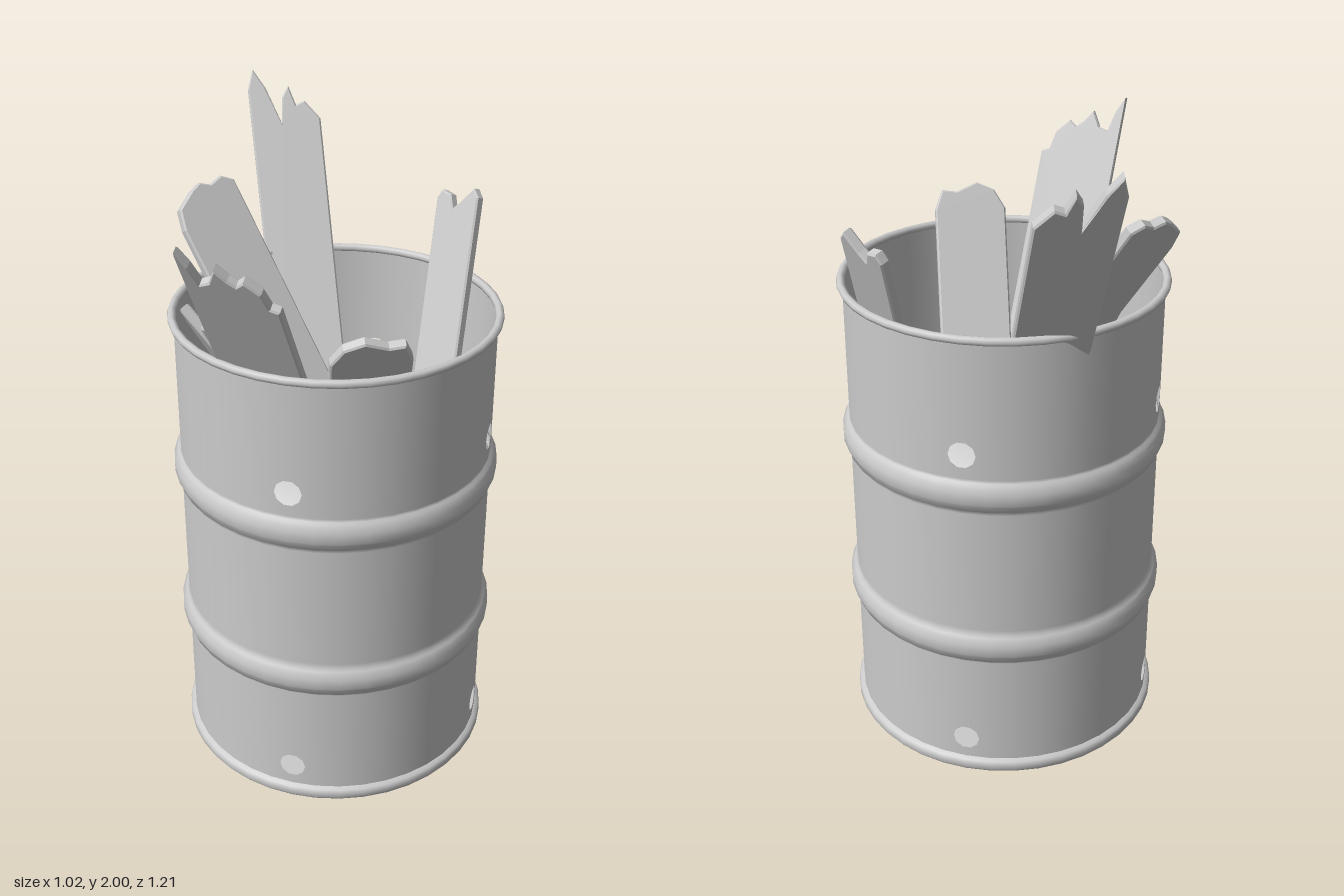
import * as THREE from 'three';

const R = 0.478, SEG = 40, STEP = (Math.PI * 2) / SEG;
const metal = new THREE.MeshStandardMaterial({ color: 0xcccccc, side: THREE.DoubleSide });
const wood = new THREE.MeshStandardMaterial({ color: 0xcccccc });

function add(parent, name, geometry, material) {
  const mesh = new THREE.Mesh(geometry, material);
  mesh.name = name;
  parent.add(mesh);
  return mesh;
}

function lathe(points) {
  return new THREE.LatheGeometry(points.map(([r, y]) => new THREE.Vector2(r, y)), SEG);
}

// Curved wall patch, two segments wide, with a round vent hole
function ventPatch(y0, y1, holeY, angle) {
  const s = new THREE.Shape();
  s.moveTo(-STEP * R, y0);
  s.lineTo(0, y0);
  s.lineTo(STEP * R, y0);
  s.lineTo(STEP * R, y1);
  s.lineTo(0, y1);
  s.lineTo(-STEP * R, y1);
  s.holes.push(new THREE.Path().absarc(0, holeY, 0.041, 0, Math.PI * 2, true));
  const g = new THREE.ShapeGeometry(s, 5);
  const p = g.attributes.position, n = g.attributes.normal;
  for (let i = 0; i < p.count; i++) {
    const a = angle + p.getX(i) / R;
    p.setXYZ(i, Math.sin(a) * R, p.getY(i), Math.cos(a) * R);
    n.setXYZ(i, Math.sin(a), 0, Math.cos(a));
  }
  return g;
}

// Wall band with four vents
function ventBand(parent, y0, y1, holeY) {
  for (let k = 0; k < 4; k++) {
    const a = (k * Math.PI) / 2;
    add(parent, 'ventPatch', ventPatch(y0, y1, holeY, a), metal);
    const arc = new THREE.CylinderGeometry(R, R, y1 - y0, 8, 1, true, a + STEP, STEP * 8);
    add(parent, 'wallBand', arc, metal).position.y = (y0 + y1) / 2;
  }
}

// Rolled hoop bulging from the wall, centred on y
function hoop(y) {
  return [[R, y - 0.047], [R + 0.01, y - 0.044], [R + 0.012, y - 0.028], [R + 0.021, y - 0.016],
    [R + 0.021, y + 0.016], [R + 0.012, y + 0.028], [R + 0.01, y + 0.042], [R, y + 0.045]];
}

// Broken board. x, z: centre at y = 1.5; lean: sideways run per unit of height;
// across: horizontal width direction; jag: [fraction of width, rise above y = 1.5]
function plank(parent, { name, x, z, lean, across, width, jag, foot = -0.44 }) {
  const d = new THREE.Vector3(lean[0], 1, lean[1]);
  const stretch = d.length();
  d.normalize();
  const w = new THREE.Vector3(across[0], 0, across[1]);
  w.addScaledVector(d, -w.dot(d)).normalize();
  const n = new THREE.Vector3().crossVectors(w, d);

  const b = 0.005, half = width / 2 - b;
  const s = new THREE.Shape();
  s.moveTo(-half, foot * stretch);
  s.lineTo(half, foot * stretch);
  [...jag].reverse().forEach(([u, rise]) => s.lineTo(u * half * 2, rise * stretch - b));
  s.closePath();
  const g = new THREE.ExtrudeGeometry(s, {
    depth: 0.022, bevelEnabled: true, bevelThickness: b, bevelSize: b, bevelSegments: 1,
  });
  g.translate(0, 0, -0.011);
  g.applyMatrix4(new THREE.Matrix4().makeBasis(w, d, n).setPosition(x, 1.5, z));
  add(parent, name, g, wood);
}

export function createModel() {
  const model = new THREE.Group();
  model.name = 'barrelOfScrapWood';

  const barrel = new THREE.Group();
  barrel.name = 'barrel';
  barrel.position.set(0.033, 0, 0.005);
  model.add(barrel);

  // Wall, from floor to rim
  add(barrel, 'bottomRim', lathe([[R, 0.042], [R + 0.012, 0.036], [R + 0.017, 0.026],
    [R + 0.017, 0.01], [R + 0.01, 0]]), metal);
  const floor = add(barrel, 'floor', new THREE.CircleGeometry(R + 0.01, SEG), metal);
  floor.rotation.x = Math.PI / 2;
  floor.position.y = 0.002;
  ventBand(barrel, 0.04, 0.19, 0.115);
  add(barrel, 'wallWithHoops', lathe([[R, 0.19], [R, 0.41], ...hoop(0.466),
    [R, 0.53], [R, 0.93], ...hoop(0.99), [R, 1.045]]), metal);
  ventBand(barrel, 1.045, 1.195, 1.12);
  add(barrel, 'upperWall', lathe([[R, 1.195], [R, 1.475]]), metal);
  const rim = add(barrel, 'topRim', new THREE.TorusGeometry(R + 0.004, 0.013, 8, SEG), metal);
  rim.rotation.x = Math.PI / 2;
  rim.position.y = 1.475;

  // Mound filling the barrel beneath the boards
  add(barrel, 'fillMound', lathe([[R - 0.002, 1.0], [0.42, 1.05], [0.34, 1.09],
    [0.2, 1.11], [0, 1.12]]), metal);

  // Broken boards leaning out around the rim
  const boards = new THREE.Group();
  boards.name = 'boards';
  model.add(boards);
  [
    { name: 'tallBackBoard', x: -0.21, z: -0.4, lean: [-0.235, -0.4], across: [0.215, -0.08],
      width: 0.22, foot: -0.5,
      jag: [[-0.5, 0.45], [-0.42, 0.5], [-0.28, 0.45], [-0.06, 0.34], [0, 0.42], [0.08, 0.445],
        [0.16, 0.39], [0.3, 0.4], [0.5, 0.35]] },
    { name: 'rightSideBoard', x: -0.3, z: -0.11, lean: [-0.62, -0.23], across: [0.145, -0.176],
      width: 0.23,
      jag: [[-0.5, 0.16], [-0.43, 0.21], [-0.15, 0.24], [0, 0.25], [0.15, 0.235], [0.35, 0.245],
        [0.5, 0.225]] },
    { name: 'shortBoard', x: -0.29, z: 0.26, lean: [-0.45, 0.35], across: [0.15, 0.13],
      width: 0.2,
      jag: [[-0.5, -0.01], [-0.4, 0.03], [-0.2, -0.04], [0, -0.12], [0.1, 0], [0.3, 0.01],
        [0.5, -0.05]] },
    { name: 'frontBoard', x: -0.065, z: 0.425, lean: [-0.09, 0.48], across: [1, 0],
      width: 0.24,
      jag: [[-0.5, 0.37], [-0.42, 0.33], [-0.35, 0.27], [-0.2, 0.28], [-0.1, 0.32], [0, 0.29],
        [0.1, 0.27], [0.2, 0.285], [0.35, 0.25], [0.4, 0.2], [0.5, 0.19]] },
    { name: 'frontLeftBoard', x: 0.24, z: 0.38, lean: [0.18, 0.5], across: [0.2, -0.09],
      width: 0.225,
      jag: [[-0.5, 0.03], [-0.35, 0.08], [-0.1, 0.1], [0.2, 0.075], [0.4, 0.08], [0.5, 0.03]] },
    { name: 'backLeftBoard', x: 0.3, z: -0.355, lean: [0.02, -0.4], across: [0.14, 0.09],
      width: 0.165,
      jag: [[-0.5, 0.19], [-0.4, 0.21], [-0.2, 0.2], [-0.1, 0.16], [0.1, 0.18], [0.4, 0.22],
        [0.5, 0.2]] },
  ].forEach((spec) => plank(boards, spec));

  return model;
}
